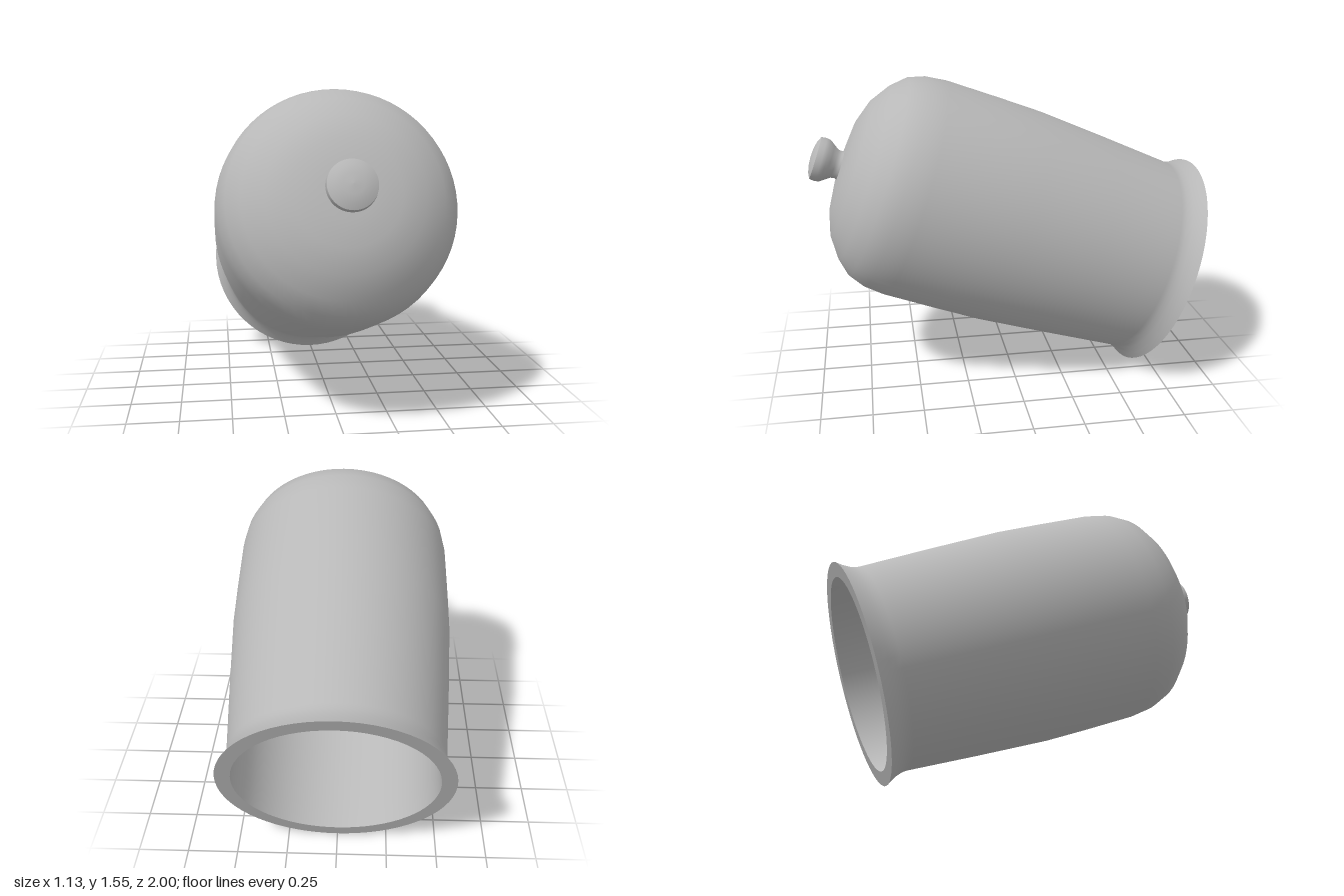
import * as THREE from 'three';

export function createModel() {
  const model = new THREE.Group();
  model.name = 'tiltedBellCover';
  const grey = new THREE.MeshStandardMaterial({ color: 0xb8b8b8 });
  grey.name = 'plainGrey';

  // Everything is turned around one axis, then the whole cover is tipped forward
  const cover = new THREE.Group();
  cover.name = 'cover';
  cover.position.set(0, 0.53, -0.8025);
  cover.rotation.x = THREE.MathUtils.degToRad(70);
  model.add(cover);

  // Profiles are [radius, height along the axis]
  const turn = (name, profile, segments = 64) => {
    const points = profile.map(([r, h]) => new THREE.Vector2(r, h));
    const mesh = new THREE.Mesh(new THREE.LatheGeometry(points, segments), grey);
    mesh.name = name;
    cover.add(mesh);
  };

  // Flared lip, tapering wall and rounded dome
  turn('outerShell', [
    [0.564, 0], [0.545, 0.03], [0.53, 0.062], [0.521, 0.09], [0.519, 0.118],
    [0.543, 0.49], [0.564, 0.865], [0.565, 1.1], [0.563, 1.375],
    [0.55, 1.478], [0.517, 1.562], [0.452, 1.632], [0.353, 1.7],
    [0.24, 1.738], [0.12, 1.751], [0, 1.754],
  ]);

  // Hollow inside
  turn('innerShell', [
    [0, 1.71], [0.12, 1.707], [0.23, 1.694], [0.33, 1.66], [0.42, 1.598],
    [0.48, 1.535], [0.508, 1.46], [0.522, 1.36], [0.524, 1.1], [0.522, 0.865],
    [0.504, 0.49], [0.49, 0.118], [0.49, 0],
  ]);

  // Flat rim joining the two shells
  turn('rim', [[0.49, 0], [0.564, 0]]);

  // Knob on the crown
  turn('knobStem', [
    [0.078, 1.74], [0.07, 1.762], [0.073, 1.782], [0.09, 1.806],
    [0.106, 1.828], [0.111, 1.85], [0.108, 1.878],
  ], 48);
  turn('knobCap', [[0.108, 1.878], [0.08, 1.891], [0.045, 1.899], [0, 1.902]], 48);

  return model;
}
